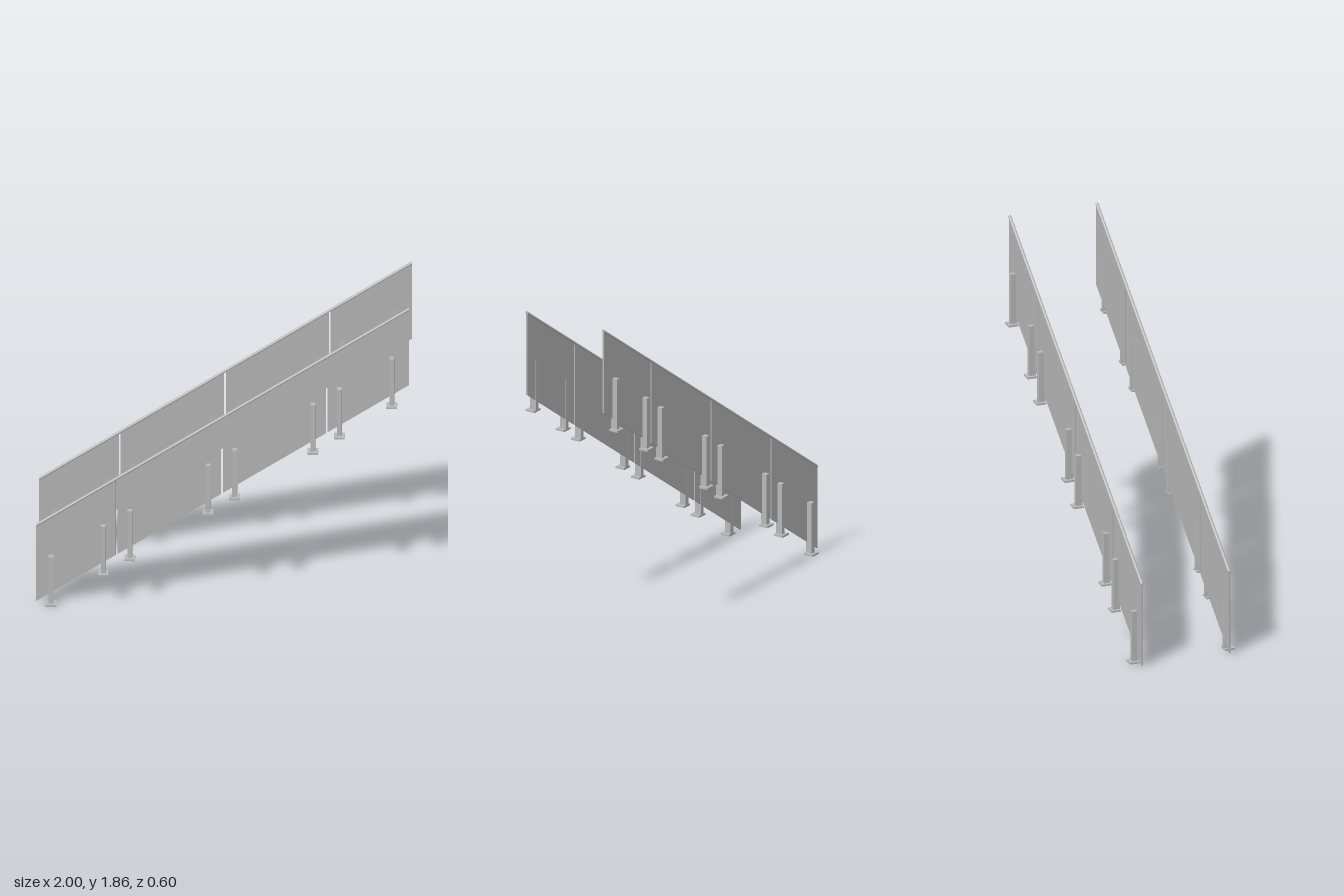
import * as THREE from 'three';

const SLOPE = 0.686;
const SIDE_Z = 0.25;

// Slide every vertex up in proportion to x, so ends stay vertical
function shear(geometry) {
  const p = geometry.attributes.position;
  for (let i = 0; i < p.count; i++) p.setY(i, p.getY(i) + SLOPE * p.getX(i));
  geometry.computeVertexNormals();
  return geometry;
}

export function createModel() {
  const glass = new THREE.MeshStandardMaterial({ color: 0xb4b4b4 });
  glass.name = 'greyGlass';
  const steel = new THREE.MeshStandardMaterial({ color: 0xb8b8b8 });
  steel.name = 'steel';

  const panelSpans = [[-1, -0.572], [-0.562, -0.008], [0.002, 0.554], [0.564, 1]];
  const postXs = [-0.918, -0.638, -0.496, -0.076, 0.066, 0.485, 0.627, 0.908];

  const model = new THREE.Group();
  model.name = 'stairBalustrade';

  for (const side of [1, -1]) {
    const railing = new THREE.Group();
    railing.name = side > 0 ? 'frontRailing' : 'backRailing';

    const add = (name, geometry, material, x, y, z) => {
      const mesh = new THREE.Mesh(geometry, material);
      mesh.name = name;
      mesh.position.set(x, y, z * side);
      railing.add(mesh);
    };

    // Sloping glass panels
    for (const [x0, x1] of panelSpans) {
      const mid = (x0 + x1) / 2;
      const panel = shear(new THREE.BoxGeometry(x1 - x0, 0.463, 0.008));
      add('glassPanel', panel, glass, mid, 0.925 + SLOPE * mid, SIDE_Z);
    }

    // Round handrail along the top edge
    const rail = new THREE.CylinderGeometry(0.009, 0.009, 2, 16).rotateZ(Math.PI / 2);
    add('handrail', shear(rail), steel, 0, 1.161, SIDE_Z);

    // Square posts on base plates, stepping up with the stair
    for (const x of postXs) {
      const y = 0.688 * (x - postXs[0]);
      add('post', new THREE.BoxGeometry(0.026, 0.287, 0.038), steel, x, y + 0.1535, 0.2645);
      add('basePlate', new THREE.BoxGeometry(0.058, 0.011, 0.055), steel, x, y + 0.0055, 0.2725);
    }
    model.add(railing);
  }
  return model;
}
